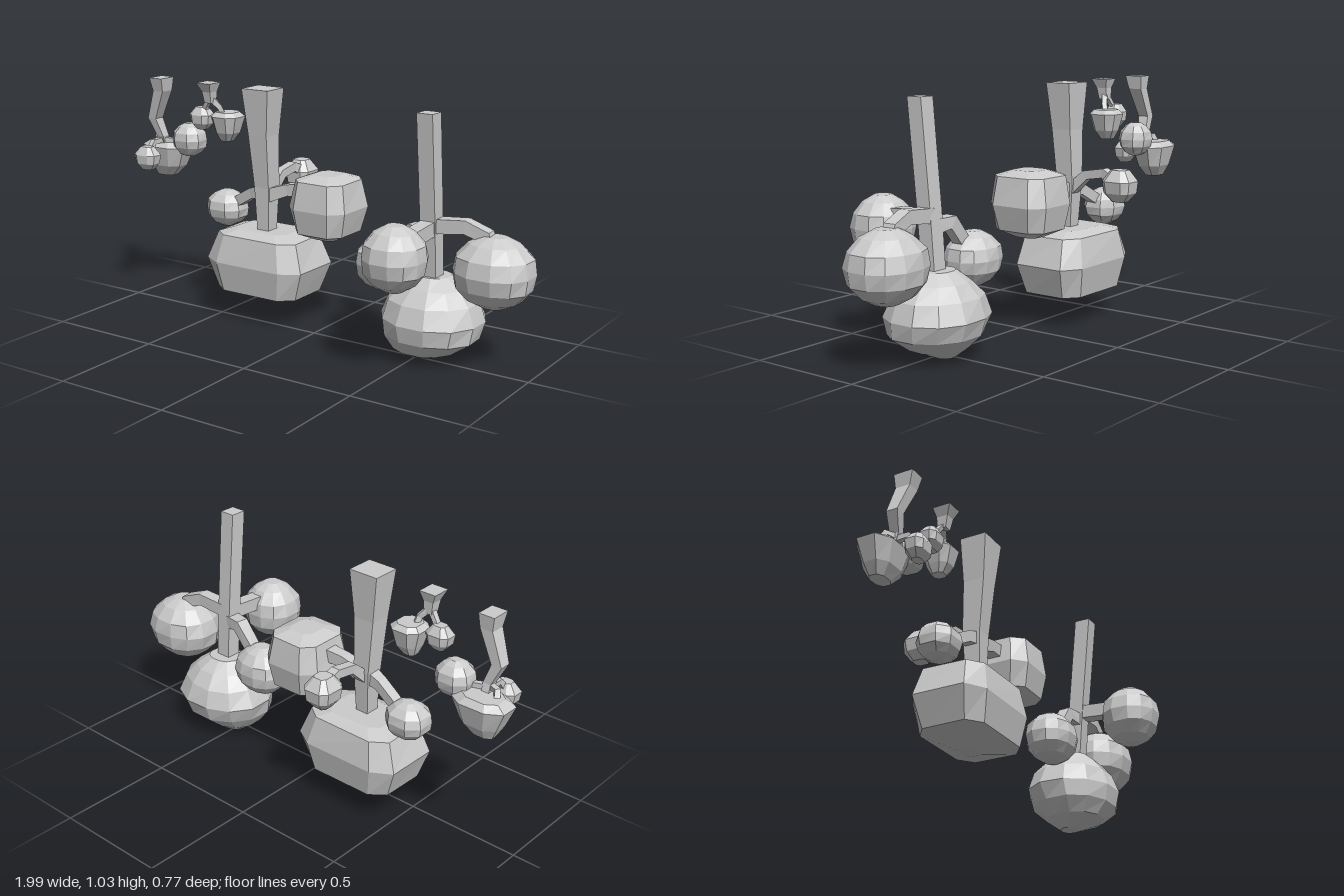
import * as THREE from 'three';

const material = new THREE.MeshStandardMaterial({ color: 0xcccccc, flatShading: true });

// Skins a list of equal-length rings and closes both ends.
function skin(name, rings) {
  const pos = [];
  const n = rings[0].length;
  const tri = (...pts) => pts.forEach((p) => pos.push(p.x, p.y, p.z));
  const centre = (r) => r.reduce((s, p) => s.add(p), new THREE.Vector3()).divideScalar(n);
  const first = rings[0], last = rings[rings.length - 1];
  const c0 = centre(first), c1 = centre(last);
  for (let j = 0; j < n; j++) {
    const k = (j + 1) % n;
    for (let i = 0; i < rings.length - 1; i++) {
      const a = rings[i], b = rings[i + 1];
      tri(a[j], a[k], b[k]);
      tri(a[j], b[k], b[j]);
    }
    tri(c0, first[k], first[j]);
    tri(c1, last[j], last[k]);
  }
  const geometry = new THREE.BufferGeometry();
  geometry.setAttribute('position', new THREE.Float32BufferAttribute(pos, 3));
  geometry.computeVertexNormals();
  const mesh = new THREE.Mesh(geometry, material);
  mesh.name = name;
  return mesh;
}

// Square-section limb through points [x, y, z, width, depth].
function limb(name, points) {
  const at = points.map((p) => new THREE.Vector3(p[0], p[1], p[2]));
  const up = new THREE.Vector3(0, 1, 0);
  const whole = at[at.length - 1].clone().sub(at[0]).normalize();
  const vertical = Math.abs(whole.y) > 0.85;
  const rings = points.map(([, , , w, d = w], i) => {
    const t = vertical
      ? new THREE.Vector3(0, Math.sign(whole.y), 0)
      : at[Math.min(i + 1, at.length - 1)].clone().sub(at[Math.max(i - 1, 0)]).normalize();
    const u = vertical ? new THREE.Vector3(1, 0, 0) : up.clone().cross(t).normalize();
    const v = t.clone().cross(u);
    return [[1, 1], [-1, 1], [-1, -1], [1, -1]].map(([a, b]) =>
      at[i].clone().addScaledVector(u, a * w / 2).addScaledVector(v, b * d / 2));
  });
  return skin(name, rings);
}

// Foliage profiles: [height fraction, ring scale, x shift, z shift].
const ROUND = [[0, 0.3], [0.1, 0.64], [0.28, 0.92], [0.5, 1], [0.72, 0.92], [0.9, 0.62], [1, 0.28]];
const PEAR = [[0, 0.2, -0.2, 0], [0.13, 0.62, -0.1, 0.1], [0.3, 0.91, 0, 0.05], [0.5, 1],
  [0.72, 0.86], [0.88, 0.62], [1, 0.34]];
const CRATE = [[0, 0.35], [0.12, 0.84], [0.5, 1], [0.92, 0.86], [1, 0.42]];
const SLAB = [[0, 0.2], [0.13, 0.84], [0.54, 1], [0.93, 0.84], [1, 0.55]];
const PEBBLE = [[0, 0.45], [0.28, 0.9], [0.65, 1], [1, 0.5]];
const CUP = [[0, 0.4, -0.1, 0], [0.3, 0.72], [0.85, 1], [1, 0.7]];

// Faceted clump filling the box [x0, x1, y0, y1, z0, z1]; a lower power is boxier.
function clump(name, [x0, x1, y0, y1, z0, z1], profile, sides = 8, power = 1) {
  const full = Math.cos(Math.PI / sides) ** power;
  const shape = (c) => Math.sign(c) * Math.abs(c) ** power / full;
  const rx = (x1 - x0) / 2, rz = (z1 - z0) / 2;
  return skin(name, profile.map(([t, s, dx = 0, dz = 0], i) =>
    Array.from({ length: sides }, (_, j) => {
      const a = (j + 0.5) / sides * Math.PI * 2;
      const r = s * (1 + 0.02 * Math.sin(i * 2.3 + j * 1.7));
      return new THREE.Vector3(
        (x0 + x1) / 2 + rx * (r * shape(Math.sin(a)) + dx),
        y0 + (y1 - y0) * t,
        (z0 + z1) / 2 + rz * (r * shape(Math.cos(a)) + dz));
    })));
}

function tree(name, ...parts) {
  const group = new THREE.Group();
  group.name = name;
  group.add(...parts);
  return group;
}

export function createModel() {
  const model = new THREE.Group();
  model.name = 'hangingTrees';

  // Tall tree with round foliage
  model.add(tree('roundTree',
    limb('trunk', [[0.56, 1.02, 0.045, 0.07], [0.56, 0.58, 0.003, 0.068], [0.56, 0.28, -0.02, 0.066]]),
    limb('rightBranch', [[0.56, 0.565, 0, 0.06], [0.71, 0.58, -0.01, 0.055], [0.79, 0.55, -0.02, 0.055], [0.82, 0.47, -0.02, 0.05]]),
    limb('leftBranch', [[0.56, 0.52, 0, 0.06], [0.47, 0.53, -0.02, 0.055], [0.39, 0.43, -0.02, 0.05]]),
    limb('frontBranch', [[0.56, 0.56, 0, 0.06], [0.56, 0.545, 0.2, 0.06]]),
    clump('mainFoliage', [0.345, 0.77, 0, 0.355, -0.225, 0.16], PEAR, 12, 0.95),
    clump('rightFoliage', [0.665, 0.99, 0.27, 0.555, -0.165, 0.12], ROUND, 12, 0.9),
    clump('leftFoliage', [0.21, 0.455, 0.255, 0.475, -0.13, 0.08], ROUND, 12, 0.9),
    clump('frontFoliage', [0.42, 0.67, 0.36, 0.62, 0.14, 0.385], ROUND, 12, 0.9)));

  // Broad tree with blocky foliage
  model.add(tree('blockyTree',
    limb('trunk', [[-0.288, 1.03, -0.035, 0.135, 0.12], [-0.288, 0.83, -0.04, 0.095, 0.095],
      [-0.285, 0.6, -0.055, 0.075, 0.08], [-0.282, 0.36, -0.05, 0.055, 0.06]]),
    limb('rightBranch', [[-0.28, 0.56, -0.05, 0.06], [-0.17, 0.6, -0.06, 0.05], [-0.05, 0.61, -0.07, 0.06]]),
    limb('leftBranch', [[-0.28, 0.58, -0.05, 0.06], [-0.36, 0.56, -0.06, 0.045], [-0.43, 0.52, -0.07, 0.045], [-0.5, 0.48, -0.08, 0.04]]),
    limb('backBranch', [[-0.28, 0.55, -0.05, 0.05], [-0.28, 0.64, -0.15, 0.04], [-0.28, 0.655, -0.24, 0.04], [-0.275, 0.62, -0.3, 0.05]]),
    clump('mainFoliage', [-0.535, -0.04, 0.095, 0.41, -0.24, 0.1], SLAB, 8, 0.45),
    clump('rightFoliage', [-0.115, 0.16, 0.41, 0.69, -0.22, 0.07], CRATE, 8, 0.55),
    clump('leftFoliage', [-0.61, -0.43, 0.39, 0.55, -0.16, 0], ROUND, 8, 0.85),
    clump('backFoliage', [-0.345, -0.22, 0.54, 0.675, -0.385, -0.25], PEBBLE, 8, 0.6)));

  // Small crooked tree
  model.add(tree('crookedTree',
    limb('trunk', [[-0.85, 1.03, -0.035, 0.07, 0.085], [-0.85, 0.97, -0.04, 0.055, 0.065],
      [-0.905, 0.84, -0.05, 0.045, 0.05], [-0.872, 0.76, -0.06, 0.035, 0.04], [-0.875, 0.7, -0.08, 0.03, 0.04]]),
    limb('rightBranch', [[-0.875, 0.74, -0.06, 0.025], [-0.82, 0.74, -0.08, 0.022], [-0.75, 0.76, -0.1, 0.025]]),
    limb('leftBranch', [[-0.87, 0.75, -0.06, 0.025], [-0.92, 0.75, -0.08, 0.022], [-0.94, 0.69, -0.11, 0.025]]),
    limb('frontBranch', [[-0.875, 0.74, -0.06, 0.025], [-0.875, 0.74, 0, 0.022], [-0.877, 0.7, 0.03, 0.025]]),
    clump('mainFoliage', [-1, -0.765, 0.57, 0.73, -0.19, -0.03], CUP, 8, 0.8),
    clump('rightFoliage', [-0.82, -0.67, 0.675, 0.825, -0.165, -0.03], ROUND, 8, 0.85),
    clump('frontFoliage', [-0.935, -0.82, 0.62, 0.725, 0, 0.085], PEBBLE, 8, 0.7)));

  // Smallest tree, forking in two
  model.add(tree('forkedTree',
    limb('trunk', [[-0.578, 1.03, -0.03, 0.075, 0.08], [-0.576, 0.99, -0.035, 0.045, 0.05], [-0.576, 0.94, -0.04, 0.035, 0.04]]),
    limb('leftBranch', [[-0.574, 0.965, -0.04, 0.025], [-0.612, 0.915, -0.05, 0.022], [-0.625, 0.87, -0.06, 0.022]]),
    limb('rightBranch', [[-0.578, 0.965, -0.04, 0.025], [-0.54, 0.92, -0.06, 0.022], [-0.525, 0.86, -0.08, 0.022]]),
    clump('leftFoliage', [-0.69, -0.585, 0.815, 0.915, -0.1, -0.015], PEBBLE, 8, 0.7),
    clump('rightFoliage', [-0.585, -0.45, 0.77, 0.9, -0.155, -0.02], CUP, 8, 0.75)));

  return model;
}
